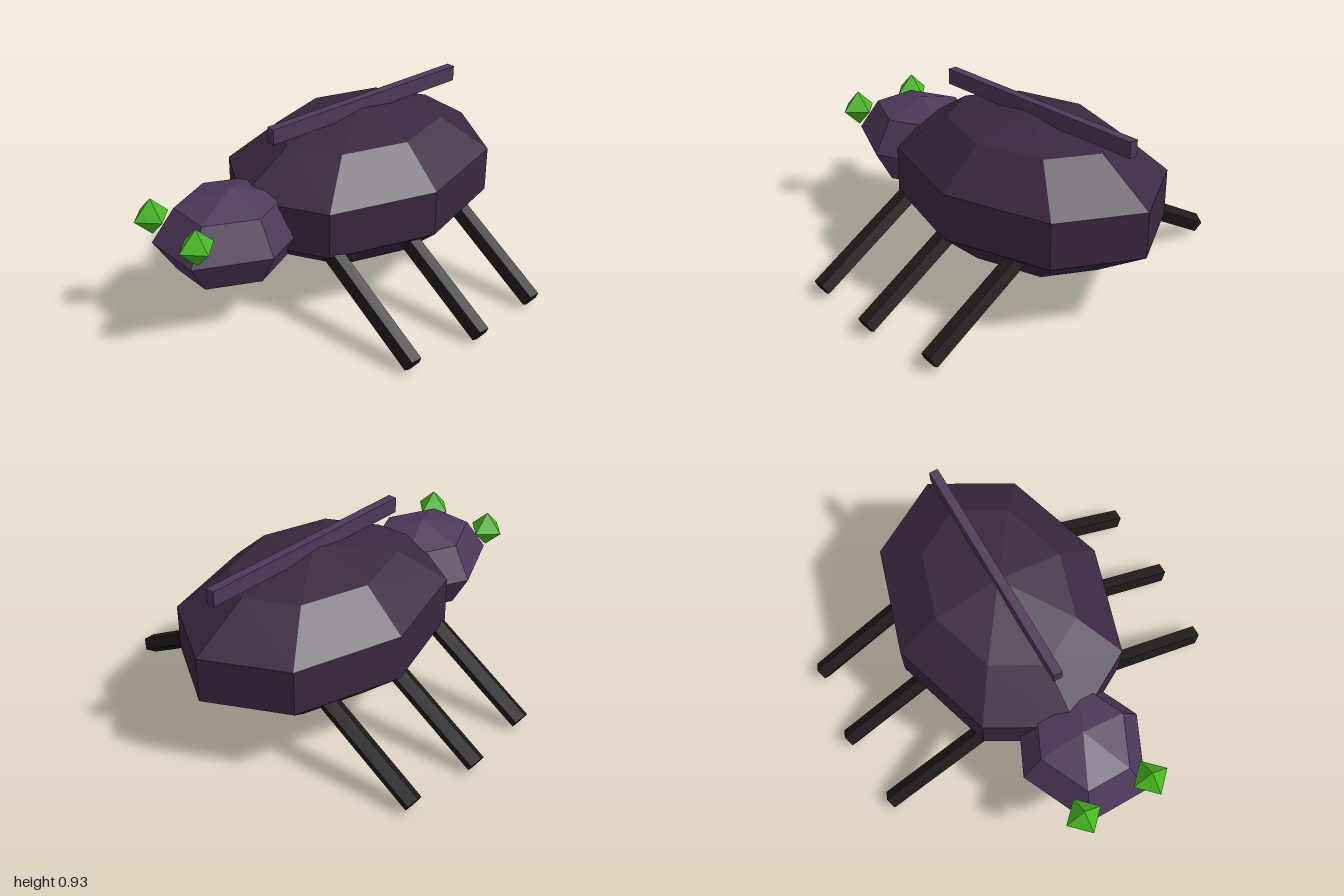
import * as THREE from 'three';

const material = (color) => new THREE.MeshStandardMaterial({ color, flatShading: true });

export function createModel() {
  const model = new THREE.Group();
  model.name = 'beetle';
  const shell = material(0x3a2840);
  const plum = material(0x4e3859);
  const legMat = material(0x1f1919);
  const eyeMat = material(0x48b820);

  const add = (name, geometry, mat, x, y, z) => {
    const mesh = new THREE.Mesh(geometry, mat);
    mesh.name = name;
    mesh.position.set(x, y, z);
    model.add(mesh);
    return mesh;
  };

  // Faceted body and head
  add('body', new THREE.SphereGeometry(1, 8, 5).scale(0.588, 0.38, 0.8), shell, 0, 0.5, -0.24);
  add('head', new THREE.SphereGeometry(1, 6, 4).scale(0.325, 0.24, 0.404), plum, 0, 0.46, 0.575);

  // Ridge along the back
  add('backRidge', new THREE.BoxGeometry(0.046, 0.08, 1.22), plum, 0, 0.89, -0.28);

  // Five-sided legs; the middle pair reaches slightly further out
  const length = 0.8;
  const tilt = Math.PI / 3;
  const legGeo = new THREE.CylinderGeometry(0.05, 0.05, length, 5, 1, false, -Math.PI / 2);
  const rows = [['front', 0.25, 0.93], ['middle', -0.158, 0.97], ['rear', -0.568, 0.93]];
  for (const [side, s] of [['Left', 1], ['Right', -1]]) {
    for (const [row, z, reach] of rows) {
      const x = reach - Math.sin(tilt) * length / 2;
      const y = 0.046 + Math.cos(tilt) * length / 2;
      add(row + side + 'Leg', legGeo, legMat, s * x, y, z).rotation.z = s * tilt;
    }
    // Eyes
    add('eye' + side, new THREE.OctahedronGeometry(0.095), eyeMat, s * 0.186, 0.585, 0.903);
  }
  return model;
}
